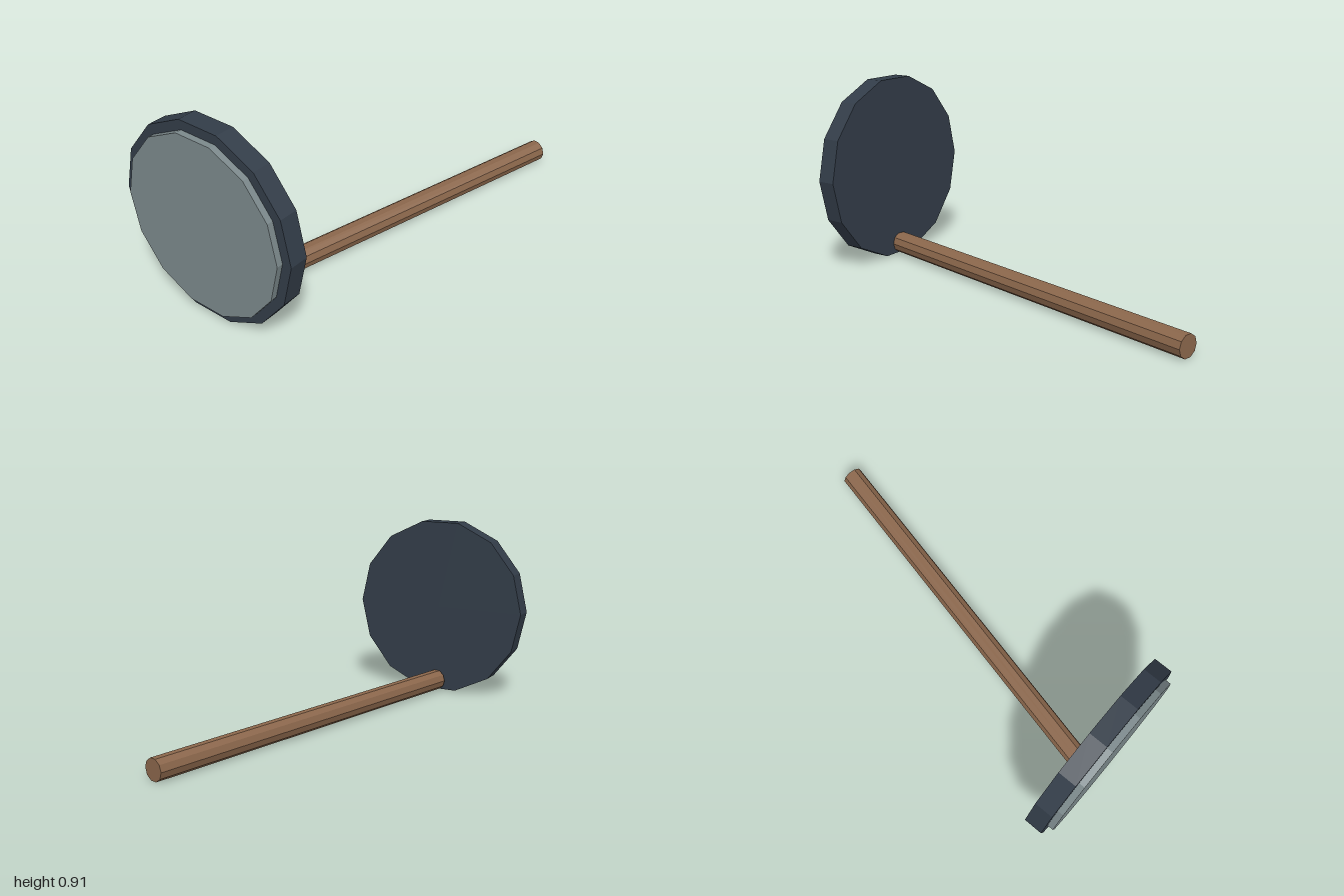
import * as THREE from 'three';

const material = (name, color) => {
  const m = new THREE.MeshStandardMaterial({ color, flatShading: true });
  m.name = name;
  return m;
};

// Closed prism along z with a corner pointing along +x
function prism(name, radius, length, sides, mat) {
  const geometry = new THREE.CylinderGeometry(radius, radius, length, sides, 1, false, Math.PI / 2);
  geometry.rotateX(Math.PI / 2);
  const mesh = new THREE.Mesh(geometry, mat);
  mesh.name = name;
  return mesh;
}

export function createModel() {
  const model = new THREE.Group();
  model.name = 'discOnPole';
  const slate = material('dark slate', 0x323c48);
  const grey = material('grey face', 0x7b888b);
  const wood = material('brown wood', 0x8a664b);

  // Upright dark disc
  const disc = prism('disc', 0.465, 0.09, 14, slate);
  disc.position.set(-0.01, 0.465, 0.925);

  // Smaller raised plate on its front
  const plate = prism('facePlate', 0.42, 0.03, 14, grey);
  plate.position.set(-0.01, 0.465, 0.985);

  // Slanted pole running back from the foot of the disc
  const start = new THREE.Vector3(-0.01, 0.065, 0.873);
  const end = new THREE.Vector3(0.418, 0.055, -0.988);
  const pole = prism('pole', 0.053, start.distanceTo(end), 10, wood);
  pole.position.copy(start).lerp(end, 0.5);
  pole.lookAt(start);

  model.add(disc, plate, pole);
  return model;
}
